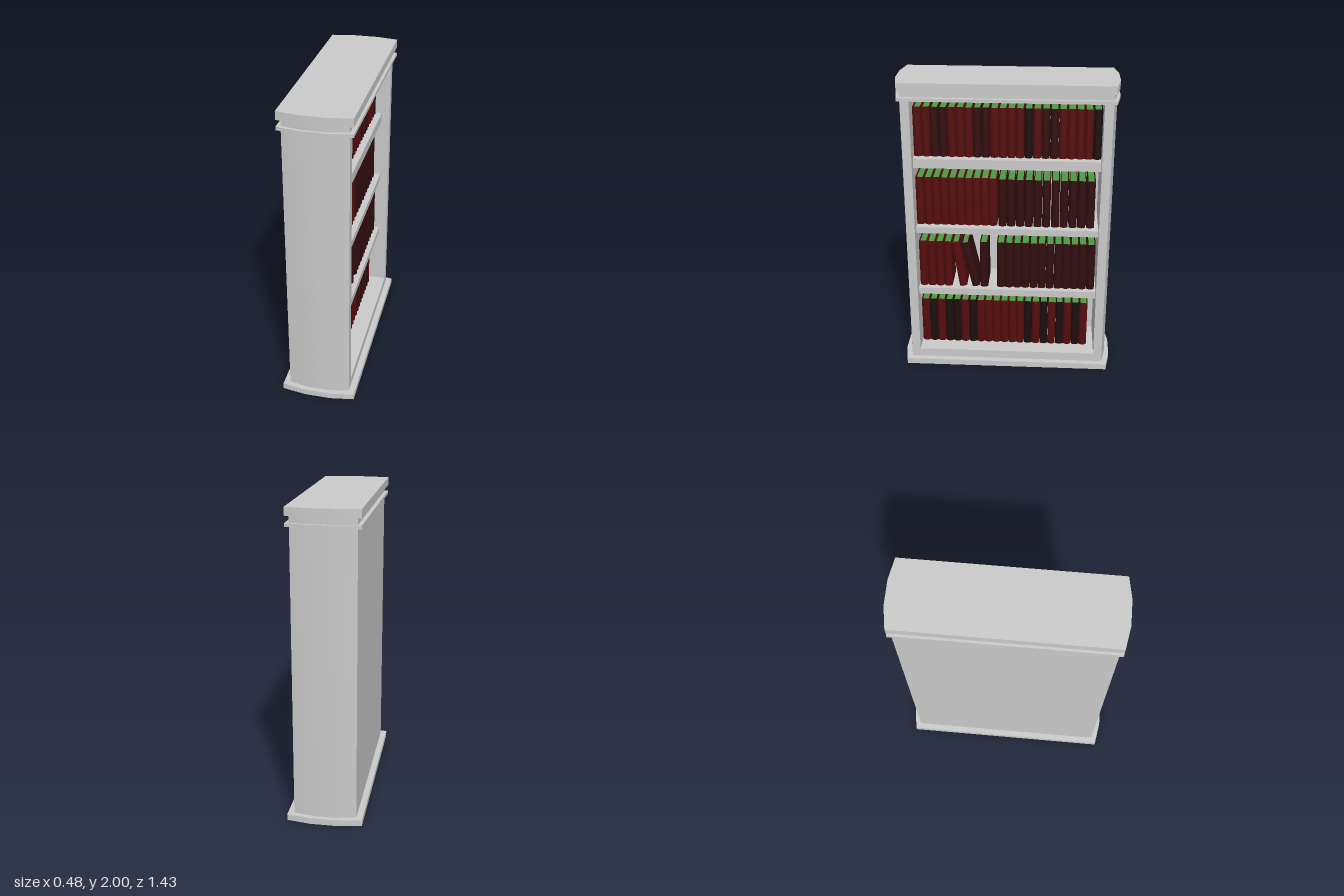
import * as THREE from 'three';
import { toCreasedNormals } from 'three/addons/utils/BufferGeometryUtils.js';

const grey = new THREE.MeshStandardMaterial({ color: 0xcccccc });
const pageMat = new THREE.MeshStandardMaterial({ color: 0x4f9a45 });
const coverMats = {
  R: new THREE.MeshStandardMaterial({ color: 0x560d0d }),
  D: new THREE.MeshStandardMaterial({ color: 0x320d0f }),
  B: new THREE.MeshStandardMaterial({ color: 0x1c0d0d }),
};

function add(parent, name, geometry, material = grey) {
  const mesh = new THREE.Mesh(geometry, material);
  mesh.name = name;
  parent.add(mesh);
  return mesh;
}

// Raises a plan outline of [x, z] points from y0 to y1
function raise(points, y0, y1) {
  const shape = new THREE.Shape(points.map(([x, z]) => new THREE.Vector2(x, -z)));
  const geo = new THREE.ExtrudeGeometry(shape, { depth: y1 - y0, bevelEnabled: false });
  geo.rotateX(-Math.PI / 2).translate(0, y0, 0);
  return toCreasedNormals(geo, 0.5);
}

// Gently bowed end, seen from above; side is +1 or -1 along z
const bow = (hx, z, side) =>
  [[-hx, z - 0.025], [-hx * 0.36, z], [hx * 0.36, z], [hx, z - 0.025]].map(([x, v]) => [x * side, v * side]);

const slab = (hx, z, y0, y1) => raise([...bow(hx, z, 1), ...bow(hx, z, -1)], y0, y1);

function box(parent, name, x0, x1, y0, y1, z0, z1) {
  const mesh = add(parent, name, new THREE.BoxGeometry(x1 - x0, y1 - y0, z1 - z0));
  mesh.position.set((x0 + x1) / 2, (y0 + y1) / 2, (z0 + z1) / 2);
  return mesh;
}

// One book: rounded spine facing +x, two boards and a recessed page block
function makeBook(height, width, kind) {
  const book = new THREE.Group();
  book.name = 'book';
  const d = 0.21, t = 0.006, h = width / 2;
  const plan = new THREE.Shape();
  plan.moveTo(-d, h);
  plan.lineTo(-d, h - t);
  plan.lineTo(-0.02, h - t);
  plan.lineTo(-0.02, -h + t);
  plan.lineTo(-d, -h + t);
  plan.lineTo(-d, -h);
  plan.lineTo(-0.014, -h);
  plan.quadraticCurveTo(0.014, 0, -0.014, h);
  const cover = new THREE.ExtrudeGeometry(plan, { depth: height, bevelEnabled: false, curveSegments: 6 });
  cover.rotateX(-Math.PI / 2);
  add(book, 'cover', toCreasedNormals(cover, 0.7), coverMats[kind]);
  const pages = add(book, 'pages', new THREE.BoxGeometry(d - 0.03, height - 0.016, width - 2 * t), pageMat);
  pages.position.set(-0.015 - d / 2, height / 2, 0);
  return book;
}

// A run of books from z towards -z, one letter per cover colour
function bookRun(parent, kinds, x, y, z, pitch, width, height) {
  [...kinds].forEach((kind, i) => {
    const book = makeBook(height, width, kind);
    book.position.set(x, y, z - pitch * (i + 0.5));
    parent.add(book);
  });
}

export function createModel() {
  const model = new THREE.Group();
  model.name = 'bookcase';

  // Base and cornice
  add(model, 'base', slab(0.24, 0.713, 0, 0.04));
  add(model, 'lowerMoulding', slab(0.225, 0.7, 1.885, 1.906));
  add(model, 'corniceNeck', slab(0.2, 0.682, 1.906, 1.947));
  add(model, 'corniceCap', slab(0.225, 0.697, 1.947, 2));

  // Bowed end panels
  for (const side of [1, -1]) {
    const outline = [...bow(0.2, 0.682, side), [0.2 * side, 0.6 * side], [-0.2 * side, 0.6 * side]];
    add(model, 'endPanel', raise(outline, 0.04, 1.885));
  }

  // Back, floor and shelves
  box(model, 'backPanel', -0.2, -0.16, 0.04, 1.885, -0.6, 0.6);
  box(model, 'floor', -0.16, 0.2, 0.04, 0.098, -0.6, 0.6);
  for (const [y0, y1] of [[0.505, 0.552], [0.962, 1.006], [1.422, 1.486]])
    box(model, 'shelf', -0.16, 0.145, y0, y1, -0.6, 0.6);

  // Rows of books, top to bottom
  const books = new THREE.Group();
  books.name = 'books';
  model.add(books);
  bookRun(books, 'RRDDRRRDDRRRRBRDDRRRRB', 0.105, 1.488, 0.6, 0.0545, 0.053, 0.325);
  bookRun(books, 'R'.repeat(10), 0.107, 1.01, 0.6, 0.0533, 0.052, 0.33);
  bookRun(books, 'D'.repeat(11), 0.107, 1.008, 0.061, 0.0578, 0.053, 0.325);
  bookRun(books, 'RRRR', 0.115, 0.555, 0.595, 0.0555, 0.053, 0.328);
  bookRun(books, 'D', 0.115, 0.555, 0.184, 0.055, 0.053, 0.328);
  bookRun(books, 'D'.repeat(12), 0.115, 0.555, 0.07, 0.055, 0.053, 0.328);
  bookRun(books, 'RBRBBRBRRRRRRBRBRBRBR', 0.09, 0.1, 0.597, 0.0548, 0.053, 0.325);

  // Two books leaning against their neighbours
  for (const [kind, z, lean] of [['R', 0.299, 0.145], ['D', 0.212, 0.22]]) {
    const book = makeBook(0.328, 0.05, kind);
    book.position.set(0.115, 0.557, z);
    book.rotation.x = lean;
    books.add(book);
  }
  return model;
}
